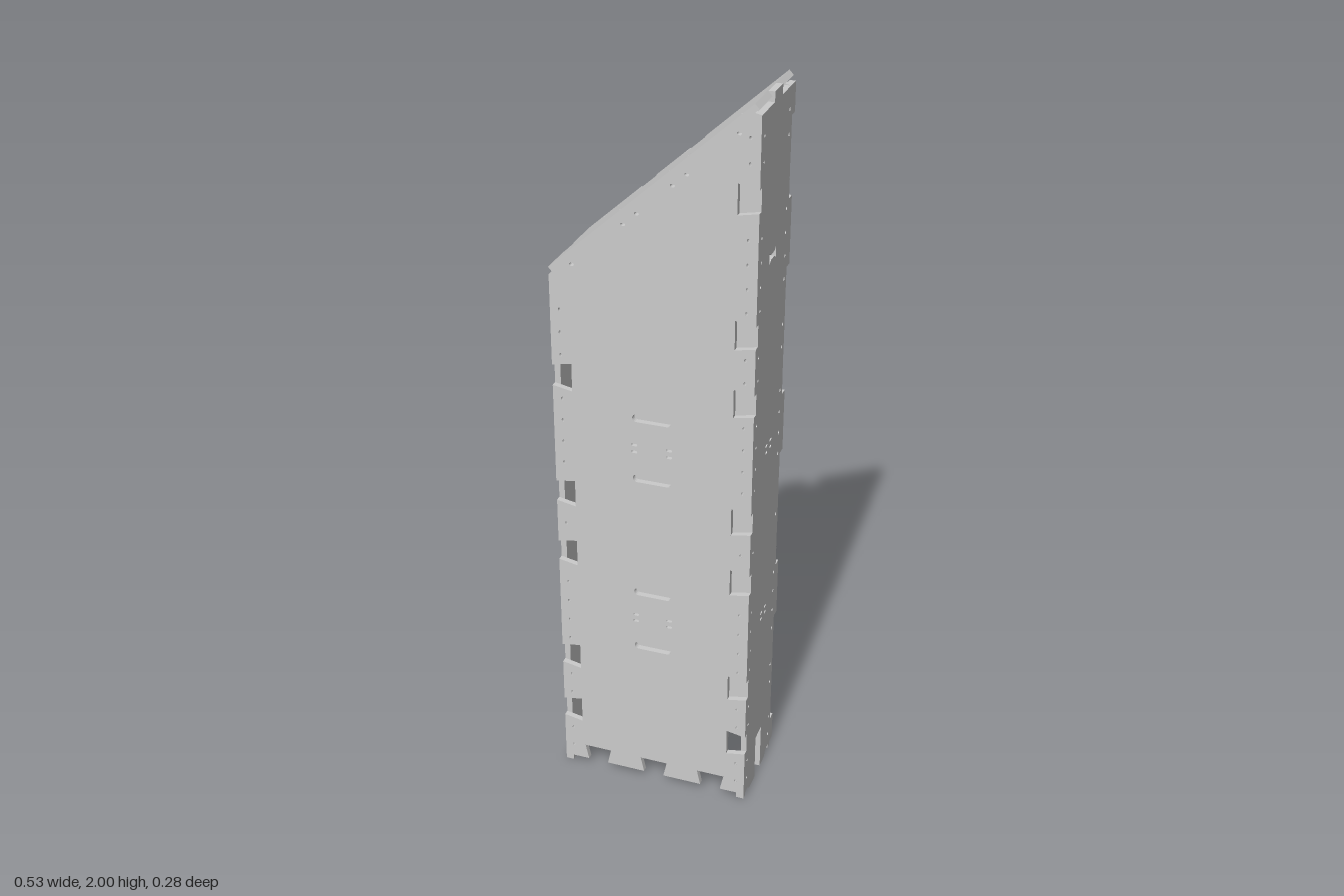
import * as THREE from 'three';

const T = 0.016;              // sheet thickness
const W = 0.267, D = 0.138;   // half width and half depth
const SLOPE = 0.898, ANGLE = Math.atan(SLOPE);
const slopeY = (x) => 1.535 + SLOPE * (x + 0.268);   // upper face of the lid
const underY = (x) => slopeY(x) - T / Math.cos(ANGLE);
const material = new THREE.MeshStandardMaterial({ color: 0xcccccc, side: THREE.DoubleSide });

// Holes: rounded slot, small round hole, polygon
function slot(x, y, w, h) {
  const p = new THREE.Path(), r = h / 2, a = w / 2 - r;
  p.absarc(x + a, y, r, -Math.PI / 2, Math.PI / 2, false);
  p.absarc(x - a, y, r, Math.PI / 2, Math.PI * 1.5, false);
  p.closePath();
  return p;
}
const dot = (x, y, r = 0.005) => new THREE.Path().absarc(x, y, r, 0, Math.PI * 2, false);
const poly = (pts) => new THREE.Path(pts.map(([x, y]) => new THREE.Vector2(x, y)));
const fourHoles = (y, dx) => [-1, 1].flatMap((s) =>
  [0.01, -0.01].map((d) => slot(s * dx, y + d, 0.016, 0.007)));

function panel(name, outline, holes) {
  const shape = new THREE.Shape(outline.map(([x, y]) => new THREE.Vector2(x, y)));
  shape.holes.push(...holes);
  const geo = new THREE.ExtrudeGeometry(shape, { depth: T, bevelEnabled: false, curveSegments: 5 });
  const mesh = new THREE.Mesh(geo, material);
  mesh.name = name;
  return mesh;
}

// Dovetail notch as [along, depth] pairs, narrow at the edge and wide inside
const dovetail = (c, depth) => [[c - 0.029, 0], [c - 0.039, depth], [c + 0.039, depth], [c + 0.029, 0]];
const LEFT_NOTCHES = [0.19, 0.375, 0.715, 0.9, 1.24];
const RIGHT_NOTCHES = [...LEFT_NOTCHES, 1.425, 1.77];
const TABS = [[0.46, 0.63], [0.98, 1.155]];
const RIGHT_TABS = [...TABS, [1.51, 1.69]];

// Broad panel outline: sawn foot, notched edges, sloping top
function broadOutline(tabbed) {
  const edge = (notches, tabs) => {
    const runs = notches.map((c) => dovetail(c, 0.053));
    if (tabbed) for (const [a, b] of tabs) runs.push([[a, 0], [a, T], [b, T], [b, 0]]);
    return runs.sort((p, q) => p[0][0] - q[0][0]).flat();
  };
  const pts = [[-W, 0.004], [-0.245, 0.004], [-0.245, 0.02]];
  for (const c of [-0.168, 0, 0.168]) for (const [a, d] of dovetail(c, 0.046)) pts.push([a, 0.02 + d]);
  pts.push([0.245, 0.02], [0.245, 0.004], [W, 0.004]);
  for (const [a, d] of edge(RIGHT_NOTCHES, RIGHT_TABS)) pts.push([W - d, a]);
  pts.push([W, 1.975], [0.25, underY(0.25)], [-0.25, underY(-0.25)], [-W, 1.515]);
  for (const [a, d] of edge(LEFT_NOTCHES, TABS).reverse()) pts.push([-W + d, a]);
  return pts;
}

// Screw holes up both edges, clear of notches and tabs
function edgeHoles() {
  const holes = [];
  for (const [s, notches, top] of [[-1, LEFT_NOTCHES, 1.48], [1, RIGHT_NOTCHES, 1.93]]) {
    for (let y = 0.06; y < top; y += 0.062) {
      if (notches.every((c) => Math.abs(c - y) > 0.052)) holes.push(slot(s * 0.242, y, 0.007, 0.012));
    }
  }
  return holes;
}

// Narrow side panel, drawn with depth across and height up
function sidePanel(name, bodyTop, tabTop, tabs, notches, extra) {
  const back = -0.112, pts = [
    [-D, 0.018], [-0.07, 0.018], [-0.06, 0], [-0.018, 0], [-0.018, 0.14], [0.034, 0.14], [0.034, 0],
    [0.085, 0], [0.095, 0.015], [D - T, 0.015], [D - T, bodyTop], [0.037, bodyTop], [0.037, tabTop],
    [-0.027, tabTop], [-0.027, bodyTop]];
  for (const [a, b] of [...tabs].reverse()) pts.push([-D, b], [-D, a], [back, a], [back, a - 0.001]);
  // Step back in before every tab
  const out = [];
  for (const p of pts) {
    const prev = out[out.length - 1];
    if (prev && p[0] === -D && prev[0] === back) out.push([back, p[1]]);
    out.push(p);
  }
  out.push([back, 0.1], [-D, 0.1]);
  const holes = [...fourHoles(1.06, 0.018), ...fourHoles(0.545, 0.018), ...extra];
  for (let y = 0.06; y < bodyTop - 0.03; y += 0.062) {
    if (notches.some((c) => Math.abs(c - y) < 0.045)) continue;
    holes.push(dot(-0.093, y), dot(0.112, y, 0.004));
  }
  const mesh = panel(name, out, holes);
  mesh.rotation.y = -Math.PI / 2;
  return mesh;
}

export function createModel() {
  const model = new THREE.Group();
  model.name = 'panelBox';

  // Front panel with long slots and holes along the slope
  const slots = [1.155, 0.98, 0.63, 0.455].map((y) => slot(0, y, 0.104, 0.022));
  const slopeHoles = [-0.205, -0.07, -0.035, 0.055, 0.09, 0.215]
    .map((x) => slot(x, underY(x) - 0.02, 0.012, 0.008));
  const front = panel('frontPanel', broadOutline(false),
    [...slots, ...slopeHoles, ...fourHoles(1.067, 0.047), ...fourHoles(0.545, 0.047), ...edgeHoles()]);
  front.position.z = D - T;
  model.add(front);

  // Back panel set in from the rear edge
  const back = panel('backPanel', broadOutline(true),
    [...fourHoles(1.067, 0.047), ...fourHoles(0.545, 0.047), ...edgeHoles()]);
  back.position.z = -0.113;
  model.add(back);

  // Side panels, the taller one with a bow-tie opening
  const bowTie = poly([[-0.024, 1.577], [-0.01, 1.585], [0.018, 1.585], [0.032, 1.577],
    [0.032, 1.607], [0.018, 1.598], [-0.01, 1.598], [-0.024, 1.607]].map(([z, y]) => [z + 0.012, y]));
  const left = sidePanel('leftSidePanel', 1.975, 2.0, [...RIGHT_TABS, [1.9, 1.975]], RIGHT_NOTCHES, [bowTie]);
  left.position.x = W;
  const right = sidePanel('rightSidePanel', 1.51, 1.532, [...TABS, [1.42, 1.51]], LEFT_NOTCHES, []);
  right.position.x = -W + T;
  model.add(left, right);

  // Sloping lid: length along the slope, rear edge at +D before it is laid flat
  const L = 0.518 / Math.cos(ANGLE), along = (x) => (x + 0.268) / Math.cos(ANGLE);
  const outline = [[0, -D], [L, -D], [L, -0.038], [L - 0.018, -0.038], [L - 0.018, 0.026], [L, 0.026], [L, D]];
  for (const x of [0.026, -0.102]) {
    for (const [a, d] of dovetail(along(x), 0.044).reverse()) outline.push([a, D - d]);
  }
  outline.push([0, D], [0, 0.026], [0.016, 0.026], [0.016, -0.038], [0, -0.038]);
  const lidHoles = [-0.208, -0.082, -0.036, 0.044, 0.09, 0.217].map((x) => slot(along(x), -0.12, 0.012, 0.007));
  for (const x of [-0.208, -0.177, -0.058, -0.027]) {
    for (const v of [0.115, 0.094]) lidHoles.push(slot(along(x), v, 0.012, 0.007));
  }
  const lid = panel('slopingLid', outline, lidHoles);
  lid.geometry.rotateX(-Math.PI / 2);
  lid.rotation.z = ANGLE;
  lid.position.set(-0.268 + T * Math.sin(ANGLE), 1.535 - T * Math.cos(ANGLE), 0);
  model.add(lid);

  return model;
}
